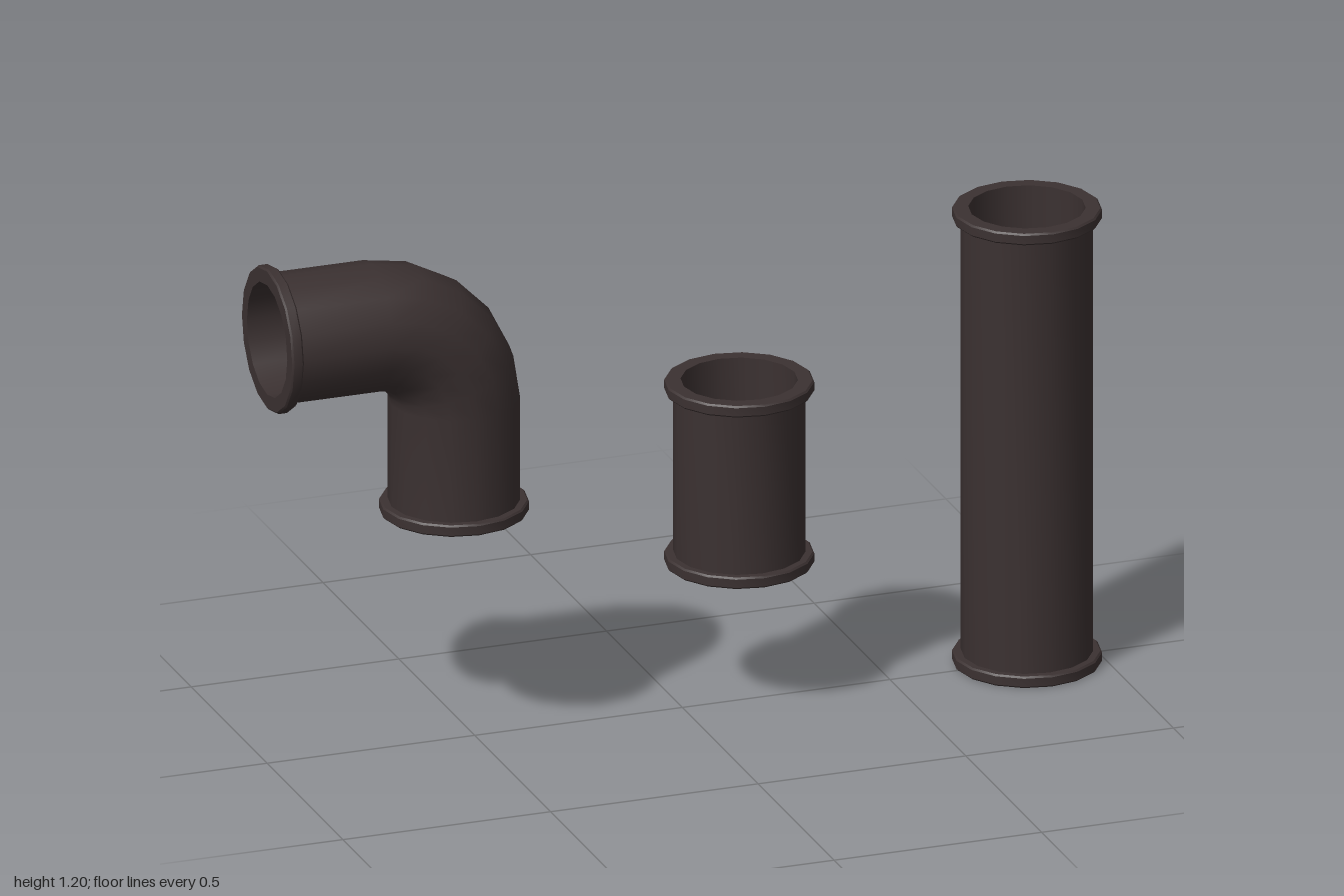
import * as THREE from 'three';
import { toCreasedNormals } from 'three/addons/utils/BufferGeometryUtils.js';

const SIDES = 16;
const WALL = 0.15, BORE = 0.133, RIM = 0.17, RIM_H = 0.028, BEVEL = 0.004;

// Closed profile of a hollow pipe with a collar at each end; stops are extra rings along the wall
function pipeGeometry(length, stops = []) {
  const top = length - RIM_H;
  const points = [
    [BORE, 0], [RIM - BEVEL, 0], [RIM, BEVEL], [RIM, RIM_H - BEVEL], [RIM - BEVEL, RIM_H], [WALL, RIM_H],
    ...stops.map((s) => [WALL, s]),
    [WALL, top], [RIM - BEVEL, top], [RIM, top + BEVEL], [RIM, length - BEVEL], [RIM - BEVEL, length], [BORE, length],
    ...[...stops].reverse().map((s) => [BORE, s]),
    [BORE, 0],
  ].map(([r, y]) => new THREE.Vector2(r, y));
  return new THREE.LatheGeometry(points, SIDES);
}

// Bends an upright pipe a quarter turn towards -x, starting at the given height
function bend(geometry, start, radius) {
  const arc = radius * Math.PI / 2;
  const p = geometry.attributes.position;
  for (let i = 0; i < p.count; i++) {
    const x = p.getX(i), s = p.getY(i) - start;
    if (s <= 0) continue;
    const angle = Math.min(s / radius, Math.PI / 2);
    const past = Math.max(s - arc, 0);
    p.setX(i, -radius + (radius + x) * Math.cos(angle) - past);
    p.setY(i, start + (radius + x) * Math.sin(angle));
  }
  return geometry;
}

export function createModel() {
  const model = new THREE.Group();
  model.name = 'pipeSet';
  const iron = new THREE.MeshStandardMaterial({ color: 0x3b3131 });
  iron.name = 'darkIron';

  const add = (name, geometry, x, y) => {
    const mesh = new THREE.Mesh(toCreasedNormals(geometry, 0.6), iron);
    mesh.name = name;
    mesh.position.set(x, y, 0);
    model.add(mesh);
  };

  // Straight pipes
  add('longPipe', pipeGeometry(1.105), 0.83, 0);
  add('shortPipe', pipeGeometry(0.445), 0.137, 0.335);

  // Elbow: upright leg, quarter bend, level leg
  const start = 0.275, radius = 0.2, arc = radius * Math.PI / 2, steps = 5;
  const stops = Array.from({ length: steps + 1 }, (_, i) => start + arc * i / steps);
  add('elbowPipe', bend(pipeGeometry(start + arc + 0.25, stops), start, radius), -0.55, 0.555);

  return model;
}
